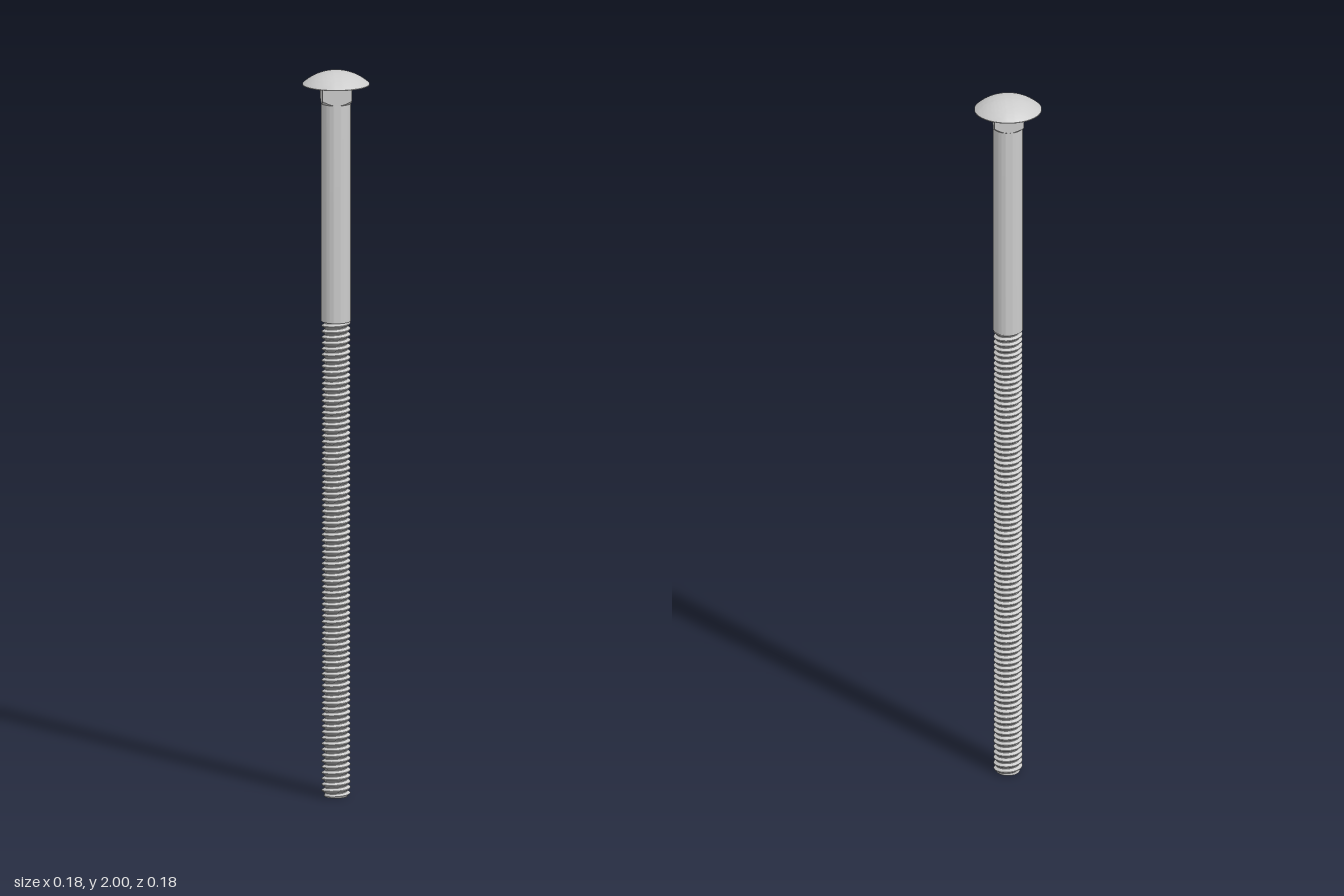
import * as THREE from 'three';
import { toCreasedNormals } from 'three/addons/utils/BufferGeometryUtils.js';

const material = new THREE.MeshStandardMaterial({ color: 0xcccccc });

function part(name, geometry, crease = 0.4) {
  const mesh = new THREE.Mesh(toCreasedNormals(geometry, crease), material);
  mesh.name = name;
  return mesh;
}

// Solid of revolution, profile listed from bottom to top
function lathe(profile) {
  return new THREE.LatheGeometry(profile.map(([r, y]) => new THREE.Vector2(r, y)), 64);
}

// Surface over u (around, counterclockwise from above) and v (upwards);
// at(u, v) returns [angle, radius, height]
function grid(nu, nv, at) {
  const positions = [], indices = [];
  for (let u = 0; u <= nu; u++) {
    for (let v = 0; v <= nv; v++) {
      const [a, r, y] = at(u, v);
      positions.push(r * Math.cos(a), y, -r * Math.sin(a));
      if (u < nu && v < nv) {
        const p = u * (nv + 1) + v, q = p + nv + 1;
        indices.push(p, q, p + 1, q, q + 1, p + 1);
      }
    }
  }
  const geometry = new THREE.BufferGeometry();
  geometry.setAttribute('position', new THREE.Float32BufferAttribute(positions, 3));
  geometry.setIndex(indices);
  return geometry;
}

export function createModel() {
  const bolt = new THREE.Group();
  bolt.name = 'carriageBolt';

  const shankR = 0.04, crestR = 0.039, rootR = 0.031;
  const threadTop = 1.31, neckBottom = 1.91, headBottom = 1.962, headR = 0.091;

  // Domed head: spherical cap with a flat underside
  const rimY = headBottom + 0.002, rise = 2 - rimY;
  const domeR = (headR ** 2 + rise ** 2) / (2 * rise);
  const sweep = Math.asin(headR / domeR);
  const profile = [[0, headBottom], [headR, headBottom]];
  for (let i = 0; i <= 16; i++) {
    const a = sweep * (1 - i / 16);
    profile.push([domeR * Math.sin(a), 2 - domeR * (1 - Math.cos(a))]);
  }
  bolt.add(part('head', lathe(profile)));

  // Square neck whose lower corners are cut by a cone
  bolt.add(part('squareNeck', grid(64, 2, (u, v) => {
    const a = (u / 64) * Math.PI * 2;
    const square = shankR / Math.max(Math.abs(Math.cos(a)), Math.abs(Math.sin(a)));
    const cut = neckBottom + (square - shankR) * 0.8;
    return [a, v === 0 ? shankR : square, [neckBottom, cut, headBottom][v]];
  })));

  // Plain shank
  bolt.add(part('shank', lathe([[0, threadTop], [shankR, threadTop], [shankR, headBottom]])));

  // Right-handed helical thread, tapered at the tip
  const pitch = 0.016, segments = 32;
  const turns = Math.ceil(threadTop / pitch) + 1;
  const tooth = [[rootR, 0], [rootR, 0.15], [crestR, 0.5], [crestR, 0.65], [rootR, 1]];
  bolt.add(part('thread', grid(turns * segments, 4, (u, v) => {
    const [r, t] = tooth[v];
    const y = THREE.MathUtils.clamp((u / segments - 1 + t) * pitch, 0, threadTop);
    return [(u / segments) * Math.PI * 2, Math.min(r, rootR + y * 0.8), y];
  })));

  // Flat end of the bolt
  const end = new THREE.CircleGeometry(rootR, segments).rotateX(Math.PI / 2);
  bolt.add(part('tip', end));

  return bolt;
}
